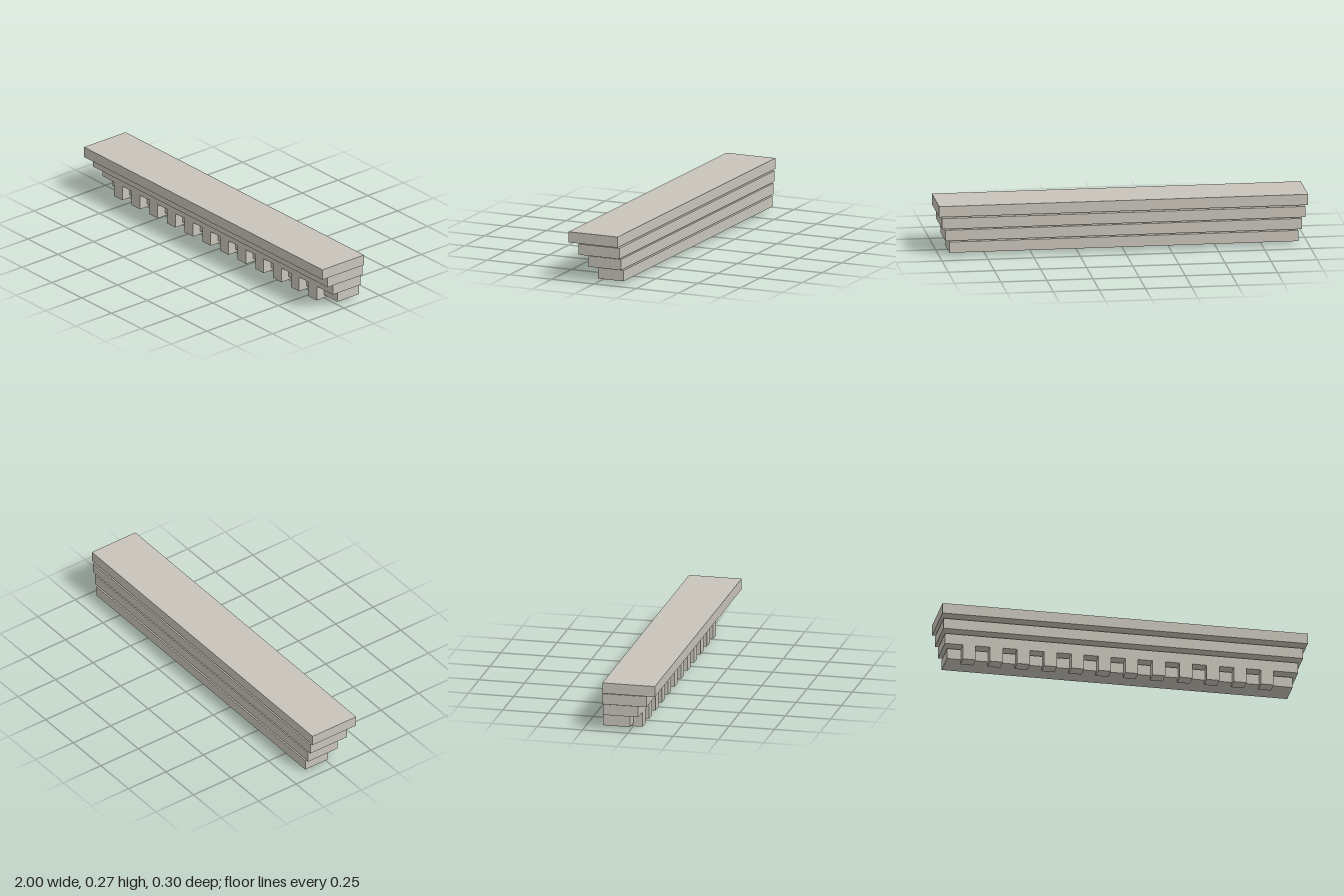
import * as THREE from 'three';

export function createModel() {
  const group = new THREE.Group();
  const stone = new THREE.MeshStandardMaterial({ color: 0xc8c4ba });
  stone.name = 'pale stone';

  // Box given by its extents on each axis
  function block(name, x0, x1, y0, y1, z0, z1) {
    const mesh = new THREE.Mesh(new THREE.BoxGeometry(x1 - x0, y1 - y0, z1 - z0), stone);
    mesh.position.set((x0 + x1) / 2, (y0 + y1) / 2, (z0 + z1) / 2);
    mesh.name = name;
    group.add(mesh);
  }

  // Stepped courses, bottom to top: half width, base height, back z, front z
  const courses = [
    [0.946, 0.018, -0.149, 0],
    [0.967, 0.083, -0.145, 0.05],
    [0.984, 0.148, -0.143, 0.1],
    [1, 0.214, -0.14, 0.15],
  ];
  courses.forEach(([w, y, back, front], i) =>
    block(`corniceCourse${i + 1}`, -w, w, y, y + 0.059, back, front));

  // Row of dentils hanging under the second course
  for (let i = 0; i < 12; i++) {
    const x = -0.834 + i * 0.1483;
    block(`dentil${i + 1}`, x - 0.035, x + 0.035, 0, 0.084, -0.022, 0.05);
  }
  return group;
}
